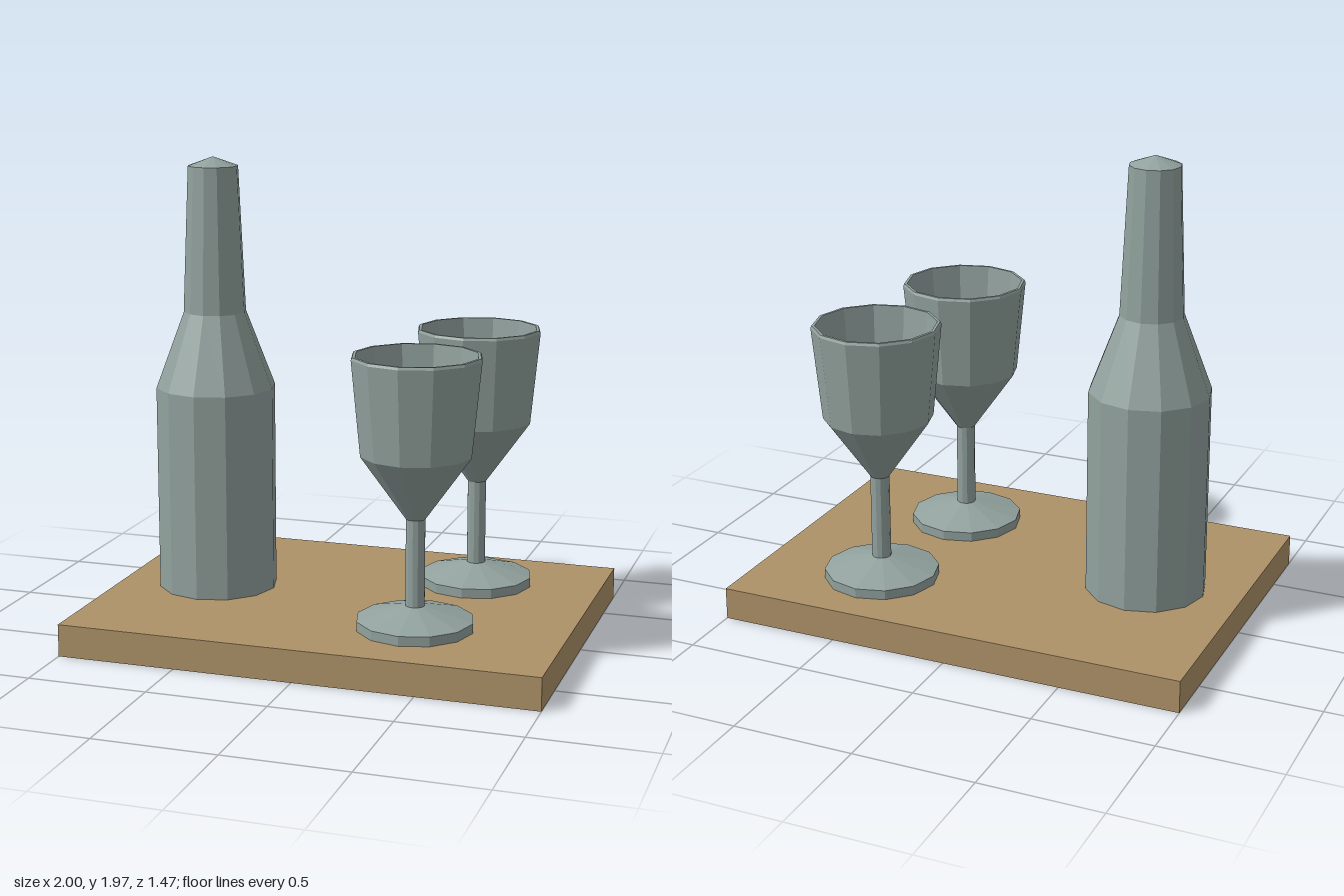
import * as THREE from 'three';

const SIDES = 12;
const TRAY_TOP = 0.135;

// Faceted turned solid from [radius, height] pairs
function turned(name, profile, material) {
  const points = profile.map(([r, y]) => new THREE.Vector2(r, y));
  const mesh = new THREE.Mesh(new THREE.LatheGeometry(points, SIDES), material);
  mesh.name = name;
  return mesh;
}

export function createModel() {
  const model = new THREE.Group();
  model.name = 'trayWithBottleAndGlasses';

  const wood = new THREE.MeshStandardMaterial({ color: 0xad9268, flatShading: true });
  const glass = new THREE.MeshStandardMaterial({ color: 0x92a29e, flatShading: true });

  // Wooden tray
  const tray = new THREE.Mesh(new THREE.BoxGeometry(2, TRAY_TOP, 1.465), wood);
  tray.name = 'tray';
  tray.position.y = TRAY_TOP / 2;
  model.add(tray);

  // Bottle: body, shoulder, neck and low pointed cap
  const bottle = turned('bottle', [
    [0, 0], [0.253, 0], [0.253, 0.87], [0.132, 1.19], [0.105, 1.8], [0, 1.838],
  ], glass);
  bottle.position.set(-0.59, TRAY_TOP, 0);
  model.add(bottle);

  // Wine glasses: foot and stem, then a hollow bowl
  const standProfile = [
    [0, 0], [0.241, 0], [0.241, 0.04], [0.04, 0.095], [0.04, 0.455],
  ];
  const bowlProfile = [
    [0.04, 0.455], [0.227, 0.718], [0.265, 1.107], [0.26, 1.118],
    [0.248, 1.118], [0.21, 0.725], [0.027, 0.475], [0, 0.47],
  ];
  for (const [name, x, z] of [['frontGlass', 0.385, 0.32], ['backGlass', 0.465, -0.35]]) {
    const wineGlass = new THREE.Group();
    wineGlass.name = name;
    wineGlass.add(turned('stand', standProfile, glass), turned('bowl', bowlProfile, glass));
    wineGlass.position.set(x, TRAY_TOP, z);
    model.add(wineGlass);
  }

  return model;
}
